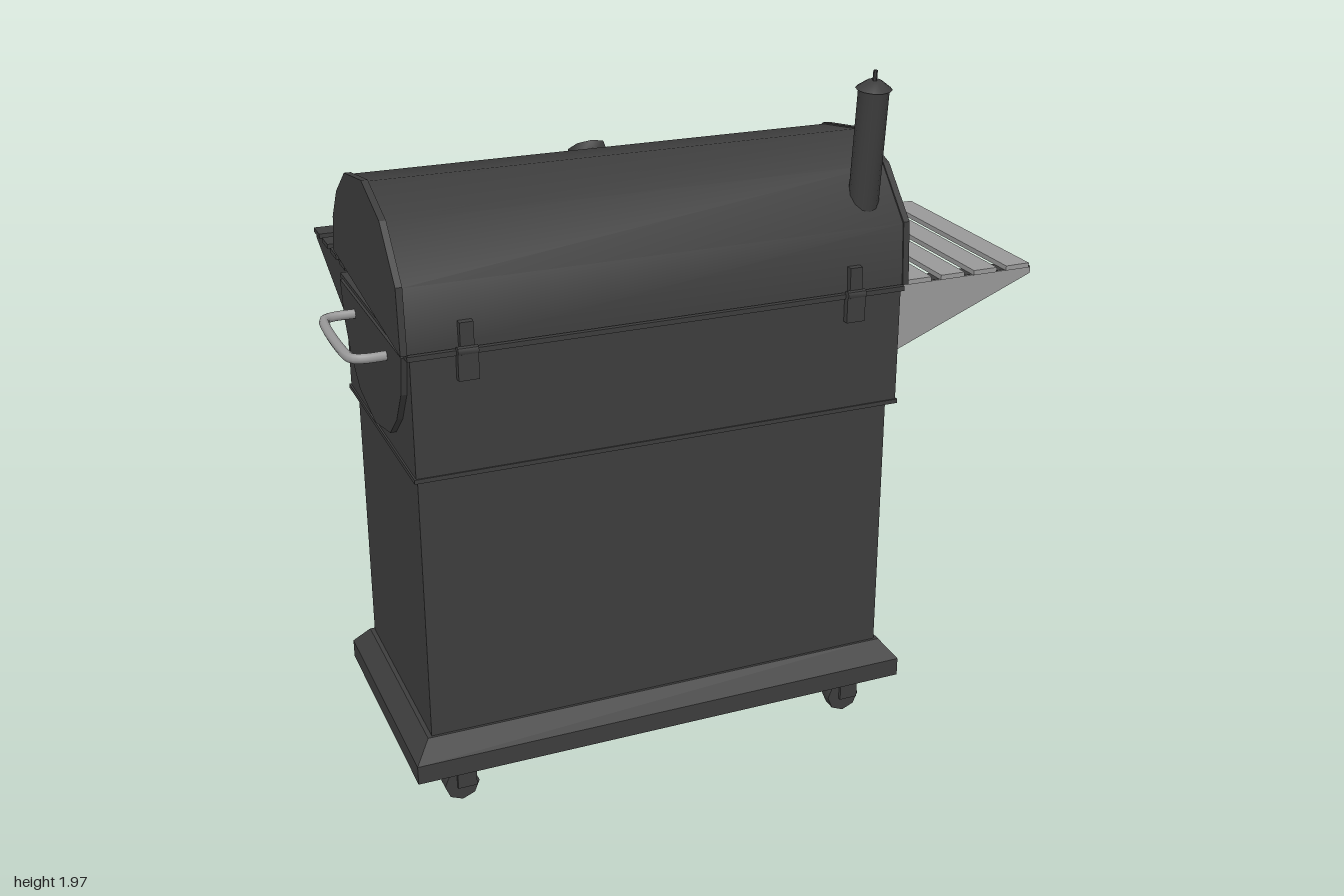
import * as THREE from 'three';
import { toCreasedNormals } from 'three/addons/utils/BufferGeometryUtils.js';

const material = (name, color) => new THREE.MeshStandardMaterial({ name, color });

export function createModel() {
  const body = material('darkBody', 0x3d3d3d);
  const steel = material('brushedSteel', 0x999999);

  const model = new THREE.Group();
  model.name = 'grill';
  const grill = new THREE.Group();
  grill.name = 'grillAssembly';
  grill.position.set(-0.18, 0, 0.2);
  grill.rotation.y = THREE.MathUtils.degToRad(10);
  model.add(grill);

  const add = (name, geo, mat, x = 0, y = 0, z = 0, parent = grill) => {
    const m = new THREE.Mesh(geo, mat);
    m.name = name;
    m.position.set(x, y, z);
    parent.add(m);
    return m;
  };
  const box = (name, w, h, d, mat, x, y, z, parent) =>
    add(name, new THREE.BoxGeometry(w, h, d), mat, x, y, z, parent);
  const cyl = (name, r1, r2, h, n, mat, x, y, z, parent) =>
    add(name, toCreasedNormals(new THREE.CylinderGeometry(r1, r2, h, n), 0.9), mat, x, y, z, parent);
  const shapeOf = (pts) => new THREE.Shape(pts.map(([a, b]) => new THREE.Vector2(a, b)));
  const extrude = (shape, depth) => {
    const g = new THREE.ExtrudeGeometry(shape, { depth, bevelEnabled: false });
    return g.translate(0, 0, -depth / 2);
  };
  // cross-section given as (z, y), extruded along x
  const section = (pts, width) => extrude(shapeOf(pts), width).rotateY(-Math.PI / 2);
  // open rectangular tray wall
  const frame = (w, d, h, t) => {
    const rect = (a, b) => [[-a, -b], [a, -b], [a, b], [-a, b]];
    const s = shapeOf(rect(w / 2, d / 2));
    s.holes.push(shapeOf(rect(w / 2 - t, d / 2 - t)));
    return extrude(s, h).rotateX(-Math.PI / 2);
  };
  // bent bar handle: runs along x, stands out along +z
  const handle = (name, len, out, r, mat, pos, rot, parent = grill) => {
    const h = len / 2, c = out * 0.35;
    const pts = [[-h, 0], [-h, out - c], [-h + c * 0.3, out - c * 0.3], [-h + c, out],
      [h - c, out], [h - c * 0.3, out - c * 0.3], [h, out - c], [h, 0]];
    const curve = new THREE.CatmullRomCurve3(pts.map(([x, z]) => new THREE.Vector3(x, 0, z)));
    const m = add(name, new THREE.TubeGeometry(curve, 40, r, 8), mat, ...pos, parent);
    m.rotation.set(...rot);
    return m;
  };

  // base skirt with a sloped shoulder
  box('baseSkirt', 1.484, 0.055, 0.733, body, 0, 0.1575, 0);
  const shoulder = new THREE.BoxGeometry(1.484, 0.055, 0.733);
  const p = shoulder.attributes.position;
  for (let i = 0; i < p.count; i++) {
    if (p.getY(i) > 0) p.setXYZ(i, p.getX(i) * 0.94, p.getY(i), p.getZ(i) * 0.88);
  }
  shoulder.computeVertexNormals();
  add('baseShoulder', shoulder, body, 0, 0.2125, 0);

  // casters
  for (const x of [-0.6, 0.6]) for (const z of [-0.275, 0.275]) {
    const caster = new THREE.Group();
    caster.name = 'caster';
    caster.position.set(x, 0, z);
    grill.add(caster);
    cyl('casterWheel', 0.05, 0.05, 0.04, 8, body, 0, 0.05, 0, caster).rotation.x = Math.PI / 2;
    for (const s of [-1, 1]) box('casterFork', 0.055, 0.08, 0.01, body, 0.012, 0.085, s * 0.028, caster);
    box('casterPlate', 0.065, 0.014, 0.066, body, 0.012, 0.124, 0, caster);
  }

  // cabinet shell, open on the door side
  box('cabinetBack', 1.37, 0.78, 0.02, body, 0, 0.63, 0.305);
  box('cabinetDivider', 0.03, 0.78, 0.03, body, 0, 0.63, -0.29);
  for (const s of [-1, 1]) {
    box('cabinetEnd', 0.02, 0.78, 0.62, body, s * 0.675, 0.63, 0);
    box('cabinetPost', 0.03, 0.78, 0.02, body, s * 0.67, 0.63, -0.305);
  }
  box('cabinetLintel', 1.35, 0.03, 0.02, body, 0, 1.005, -0.3);

  // doors: one closed, one ajar
  for (const s of [-1, 1]) {
    const door = new THREE.Group();
    door.name = s < 0 ? 'openDoor' : 'closedDoor';
    door.position.set(s * 0.66, 0.625, -0.318);
    door.rotation.y = s < 0 ? 0.37 : 0;
    grill.add(door);
    box('doorPanel', 0.65, 0.75, 0.022, body, -s * 0.327, 0, 0, door);
    handle('doorHandle', 0.35, 0.045, 0.012, body, [-s * 0.6, 0.02, -0.01], [0, Math.PI, Math.PI / 2], door);
  }

  // firebox with rims and cooking grate
  add('firebox', frame(1.394, 0.698, 0.35, 0.015), body, 0, 1.195, 0);
  box('fireboxFloor', 1.38, 0.015, 0.685, body, 0, 1.03, 0);
  add('fireboxRim', frame(1.41, 0.712, 0.014, 0.025), body, 0, 1.363, 0);
  add('fireboxFoot', frame(1.404, 0.706, 0.012, 0.02), body, 0, 1.026, 0);
  for (let i = 0; i < 28; i++) box('grateBar', 0.012, 0.01, 0.67, body, -0.66 + i * 0.0489, 1.33, 0);

  // rounded drum plates on both ends of the firebox
  const drum = [[0.33, 1.36], [0.305, 1.25], [0.246, 1.16], [0.165, 1.09], [0, 1.055],
    [-0.165, 1.09], [-0.246, 1.16], [-0.305, 1.25], [-0.33, 1.36]];
  for (const s of [-1, 1]) add('drumEndPlate', section(drum, 0.02), body, s * 0.703, 0, 0);
  handle('endHandle', 0.34, 0.1, 0.014, steel, [-0.705, 1.31, 0], [0, -Math.PI / 2, 0]);

  // lid shell, tilted slightly open
  const arch = [[0.347, 1.372], [0.335, 1.545], [0.21, 1.68], [0.04, 1.74], [-0.15, 1.71],
    [-0.262, 1.63], [-0.328, 1.54], [-0.355, 1.44]];
  const inner = arch.map(([z, y]) => [z * 0.965, y < 1.45 ? y : 1.42 + (y - 1.42) * 0.96]);
  const shell = section([...arch, ...inner.reverse()], 1.42);
  add('lidShell', toCreasedNormals(shell, 0.9), body);
  const rimArch = arch.map(([z, y]) => [z * 1.012, y > 1.45 ? y + 0.004 : y]);
  for (const s of [-1, 1]) add('lidEnd', section(rimArch, 0.018), body, s * 0.711, 0, 0);

  // steel band along the lower lid facet
  add('lidBand', section([[-0.328, 1.54], [-0.355, 1.44], [-0.361, 1.442], [-0.334, 1.542]], 1.39), steel);
  handle('lidHandle', 0.36, 0.09, 0.015, body, [0, 1.52, -0.335], [0, Math.PI, 0]);

  // thermometer
  const gauge = new THREE.Group();
  gauge.name = 'thermometer';
  gauge.position.set(-0.01, 1.672, -0.207);
  gauge.rotation.x = -0.62;
  grill.add(gauge);
  cyl('gaugeRing', 0.055, 0.06, 0.035, 8, body, 0, 0.01, 0, gauge);
  cyl('gaugeFace', 0.036, 0.036, 0.006, 8, steel, 0, 0.03, 0, gauge);

  // chimney leaning with the lid
  const chimney = new THREE.Group();
  chimney.name = 'chimney';
  chimney.position.set(0.615, 1.58, 0.262);
  chimney.rotation.x = 0.1;
  grill.add(chimney);
  cyl('chimneyPipe', 0.042, 0.042, 0.34, 12, body, 0, 0.17, 0, chimney);
  cyl('chimneyCap', 0.02, 0.05, 0.022, 12, body, 0, 0.35, 0, chimney);
  cyl('chimneyKnob', 0.006, 0.006, 0.035, 6, body, 0, 0.372, 0, chimney);

  // hinges
  for (const x of [-0.55, 0.55]) {
    box('hingeLower', 0.055, 0.08, 0.02, body, x, 1.33, 0.358);
    box('hingeUpper', 0.037, 0.08, 0.02, body, x, 1.405, 0.353);
    cyl('hingePin', 0.012, 0.012, 0.055, 8, body, x, 1.37, 0.362).rotation.z = Math.PI / 2;
  }

  // steel end shelf: slats, rails and gussets
  for (let i = 0; i < 4; i++) box('endShelfSlat', 0.075, 0.014, 0.67, steel, 0.765 + i * 0.106, 1.371, 0);
  const gusset = shapeOf([[0.7, 1.17], [1.13, 1.345], [1.13, 1.363], [0.7, 1.363]]);
  for (const s of [-1, 1]) {
    add('endShelfGusset', extrude(gusset, 0.008), steel, 0, 0, s * 0.325);
    box('endShelfRail', 0.43, 0.008, 0.055, body, 0.917, 1.36, s * 0.297);
  }

  // dark long shelf on the door side
  for (let i = 0; i < 4; i++) box('longShelfSlat', 1.372, 0.014, 0.072, body, 0, 1.371, -0.42 - i * 0.108);
  const longGusset = [[-0.35, 1.17], [-0.35, 1.363], [-0.785, 1.363], [-0.785, 1.345]];
  for (const s of [-1, 1]) {
    add('longShelfGusset', section(longGusset, 0.008), body, s * 0.675, 0, 0);
    box('longShelfRail', 0.06, 0.008, 0.43, body, s * 0.643, 1.36, -0.567);
  }
  return model;
}
